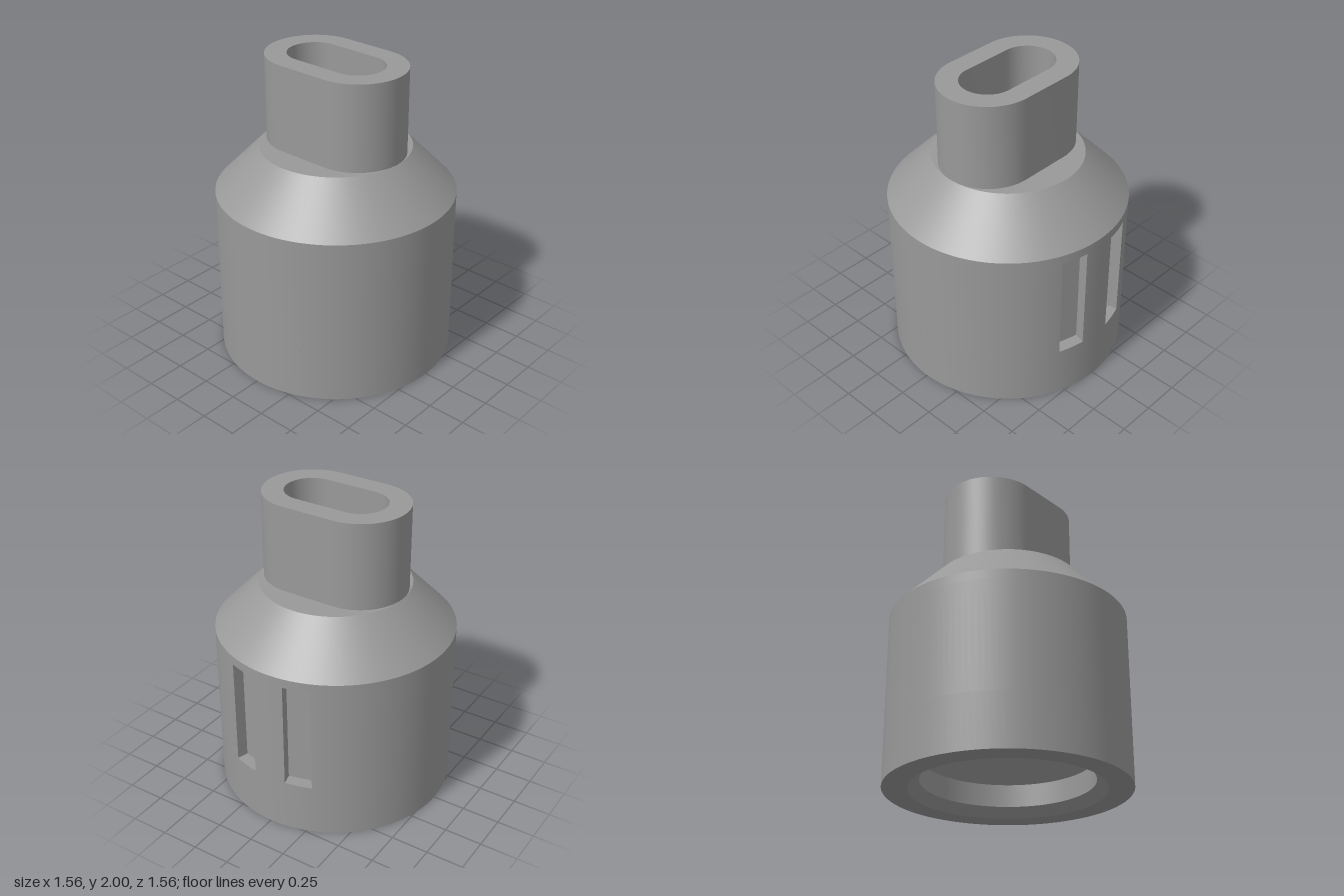
import * as THREE from 'three';
import { toCreasedNormals } from 'three/addons/utils/BufferGeometryUtils.js';

const R = 0.78;                       // outer radius of the body
const SLOT = { half: 0.09, floor: 0.70, y0: 0.35, y1: 1.07, angle: Math.PI / 12 };

export function createModel() {
  const model = new THREE.Group();
  const grey = new THREE.MeshStandardMaterial({ color: 0x999999 });
  grey.name = 'grey';

  const add = (name, geometry, parent = model) => {
    const mesh = new THREE.Mesh(geometry, grey);
    mesh.name = name;
    parent.add(mesh);
    return mesh;
  };

  // One straight profile segment turned round the axis
  const turn = (name, r1, y1, r2, y2, start = 0, length = Math.PI * 2) => {
    const segments = Math.max(4, Math.ceil(length / (Math.PI * 2) * 120));
    const profile = [new THREE.Vector2(r1, y1), new THREE.Vector2(r2, y2)];
    add(name, new THREE.LatheGeometry(profile, segments, start, length));
  };

  // Outside of the body
  turn('bottomRim', 0.62, 0, R, 0);
  turn('lowerWall', R, 0, R, SLOT.y0);
  turn('upperWall', R, SLOT.y1, R, 1.13);
  turn('shoulderCone', R, 1.13, 0.49, 1.43);
  turn('shoulderTop', 0.49, 1.43, 0.285, 1.43);

  // Inside of the body, from the top down
  turn('bore', 0.285, 1.43, 0.285, 0.48);
  turn('boreCone', 0.285, 0.48, 0.55, 0.21);
  turn('socket', 0.55, 0.21, 0.55, 0.06);
  turn('socketChamfer', 0.55, 0.06, 0.62, 0);

  // Middle wall, interrupted by the two slots at the back
  const halfAngle = Math.asin(SLOT.half / R);
  const inner = SLOT.angle - halfAngle, outer = SLOT.angle + halfAngle;
  turn('wallBetweenSlots', R, SLOT.y0, R, SLOT.y1, Math.PI - inner, 2 * inner);
  turn('middleWall', R, SLOT.y0, R, SLOT.y1, Math.PI + outer, 2 * (Math.PI - outer));

  // Slot pockets, each built facing +z and swung into place
  const height = SLOT.y1 - SLOT.y0, midY = (SLOT.y0 + SLOT.y1) / 2;
  const edge = Math.sqrt(R * R - SLOT.half * SLOT.half);
  const plan = new THREE.Shape();
  plan.moveTo(-SLOT.half, SLOT.floor);
  plan.lineTo(SLOT.half, SLOT.floor);
  plan.lineTo(SLOT.half, edge);
  plan.absarc(0, 0, R, Math.PI / 2 - halfAngle, Math.PI / 2 + halfAngle, false);
  plan.closePath();

  for (const side of [-1, 1]) {
    const slot = new THREE.Group();
    slot.name = side < 0 ? 'leftSlot' : 'rightSlot';
    add('slotFloor', new THREE.PlaneGeometry(2 * SLOT.half, height), slot)
      .position.set(0, midY, SLOT.floor);
    for (const s of [-1, 1]) {
      add('slotSide', new THREE.PlaneGeometry(edge - SLOT.floor, height).rotateY(-s * Math.PI / 2), slot)
        .position.set(s * SLOT.half, midY, (edge + SLOT.floor) / 2);
    }
    add('slotTop', new THREE.ShapeGeometry(plan).rotateX(Math.PI / 2), slot).position.y = SLOT.y1;
    add('slotSill', new THREE.ShapeGeometry(plan).rotateX(-Math.PI / 2).rotateY(Math.PI), slot)
      .position.y = SLOT.y0;
    slot.rotation.y = Math.PI + side * SLOT.angle;
    model.add(slot);
  }

  // Oblong neck with an oblong opening
  const oblong = (path, s, r) => {
    path.absarc(s, 0, r, -Math.PI / 2, Math.PI / 2, false);
    path.absarc(-s, 0, r, Math.PI / 2, Math.PI * 1.5, false);
    path.closePath();
    return path;
  };
  const outline = oblong(new THREE.Shape(), 0.175, 0.315);
  outline.holes.push(oblong(new THREE.Path(), 0.175, 0.175));
  const neck = new THREE.ExtrudeGeometry(outline, { depth: 0.57, bevelEnabled: false, curveSegments: 40 });
  neck.rotateX(-Math.PI / 2).translate(0, 1.43, 0);
  add('neck', toCreasedNormals(neck, 0.5));

  return model;
}
